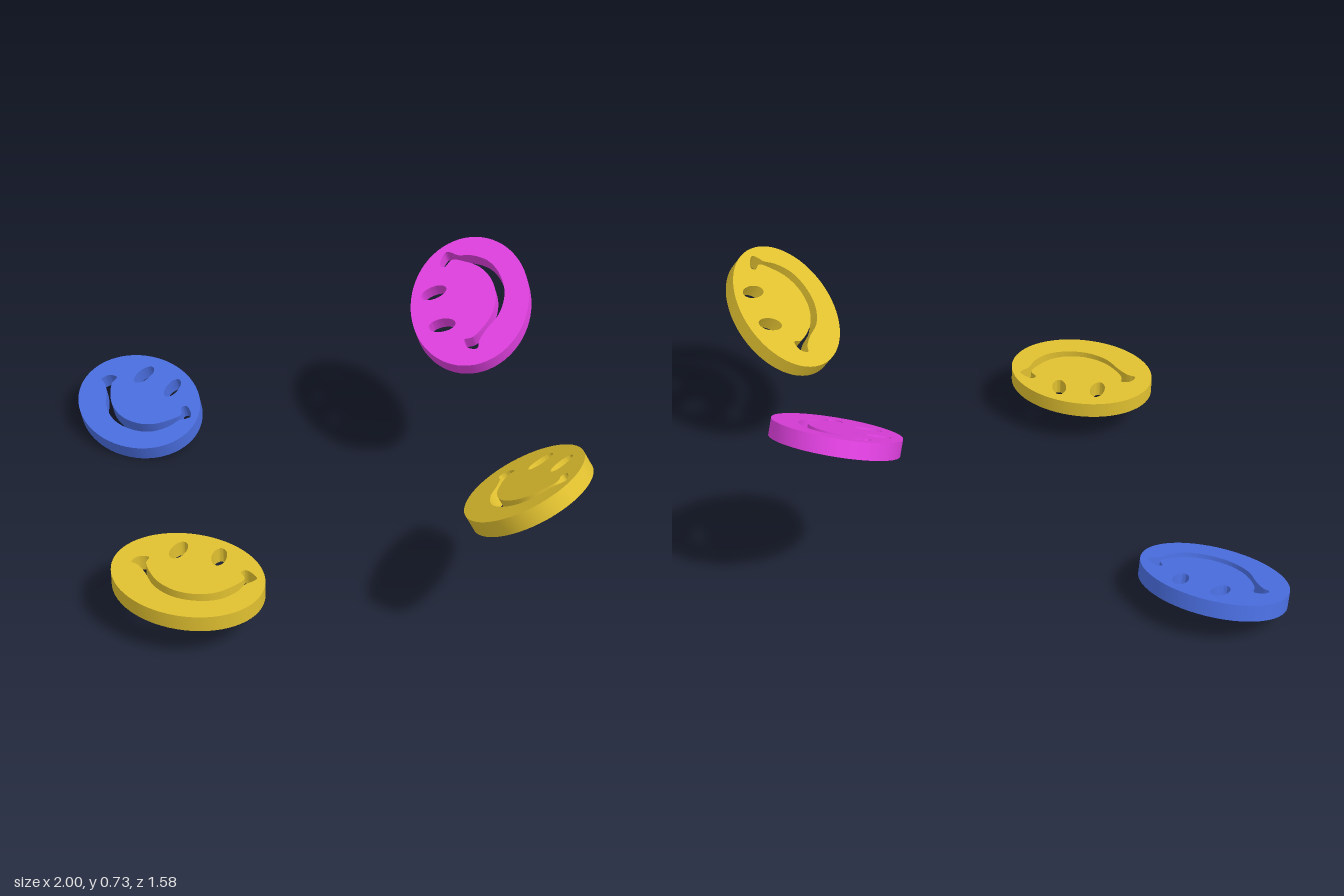
import * as THREE from 'three';
import { toCreasedNormals } from 'three/addons/utils/BufferGeometryUtils.js';

const RX = 0.242, RZ = 0.192, THICK = 0.051;

// Outline of the smile: left dimple, upper edge, right dimple, lower edge
const SMILE = [
  [-0.181, -0.027], [-0.176, 0.003], [-0.146, 0.016], [-0.139, -0.011],
  [-0.101, -0.048], [-0.053, -0.075], [0.011, -0.085], [0.075, -0.069],
  [0.123, -0.032], [0.149, 0.016], [0.16, 0.06],
  [0.135, 0.083], [0.143, 0.098], [0.192, 0.079], [0.187, 0.059],
  [0.176, 0.04], [0.171, -0.005], [0.144, -0.059], [0.091, -0.096],
  [0.016, -0.113], [-0.059, -0.096], [-0.117, -0.053], [-0.155, -0.032],
];

function ellipsePath(x, y, rx, ry, tilt) {
  return new THREE.Path().absellipse(x, y, rx, ry, 0, Math.PI * 2, false, tilt);
}

// Oval disc with eyes and smile cut through, lying flat and centred on its middle
function createDiscGeometry() {
  const face = new THREE.Shape().absellipse(0, 0, RX, RZ, 0, Math.PI * 2, false, 0);
  const smile = new THREE.CatmullRomCurve3(
    SMILE.map(([x, y]) => new THREE.Vector3(x, y, 0)), true, 'centripetal');
  const smilePoints = smile.getPoints(110).slice(0, -1).map(p => new THREE.Vector2(p.x, p.y));
  face.holes.push(
    ellipsePath(-0.085, 0.088, 0.024, 0.044, 0.1),
    ellipsePath(0.04, 0.117, 0.023, 0.043, 0.36),
    new THREE.Path(smilePoints),
  );
  const geometry = new THREE.ExtrudeGeometry(face, {
    depth: THICK, bevelEnabled: false, curveSegments: 32,
  });
  geometry.translate(0, 0, -THICK / 2).rotateX(-Math.PI / 2);
  return toCreasedNormals(geometry, 0.6);
}

// Position, tilt about x and z, and turn within the disc's own plane (degrees)
const DISCS = [
  { name: 'flatYellowDisc', color: 0xe0c030, at: [-0.074, 0.142, 0.602], tilt: [0, 0], turn: 0 },
  { name: 'blueDisc', color: 0x4a6ee0, at: [-0.763, 0.081, -0.22], tilt: [16.2, 0], turn: -22 },
  { name: 'magentaDisc', color: 0xe040e0, at: [0.295, 0.594, -0.572], tilt: [30.5, 0], turn: 112 },
  { name: 'tiltedYellowDisc', color: 0xe0c030, at: [0.807, 0.488, 0.15], tilt: [0, 35.5], turn: -45 },
];

export function createModel() {
  const model = new THREE.Group();
  model.name = 'smilingDiscs';
  const geometry = createDiscGeometry();
  const rad = THREE.MathUtils.degToRad;
  for (const { name, color, at, tilt, turn } of DISCS) {
    const disc = new THREE.Mesh(geometry, new THREE.MeshStandardMaterial({ color }));
    disc.name = name;
    disc.position.set(...at);
    disc.rotation.set(rad(tilt[0]), rad(turn), rad(tilt[1]), tilt[1] ? 'ZXY' : 'XYZ');
    model.add(disc);
  }
  return model;
}
